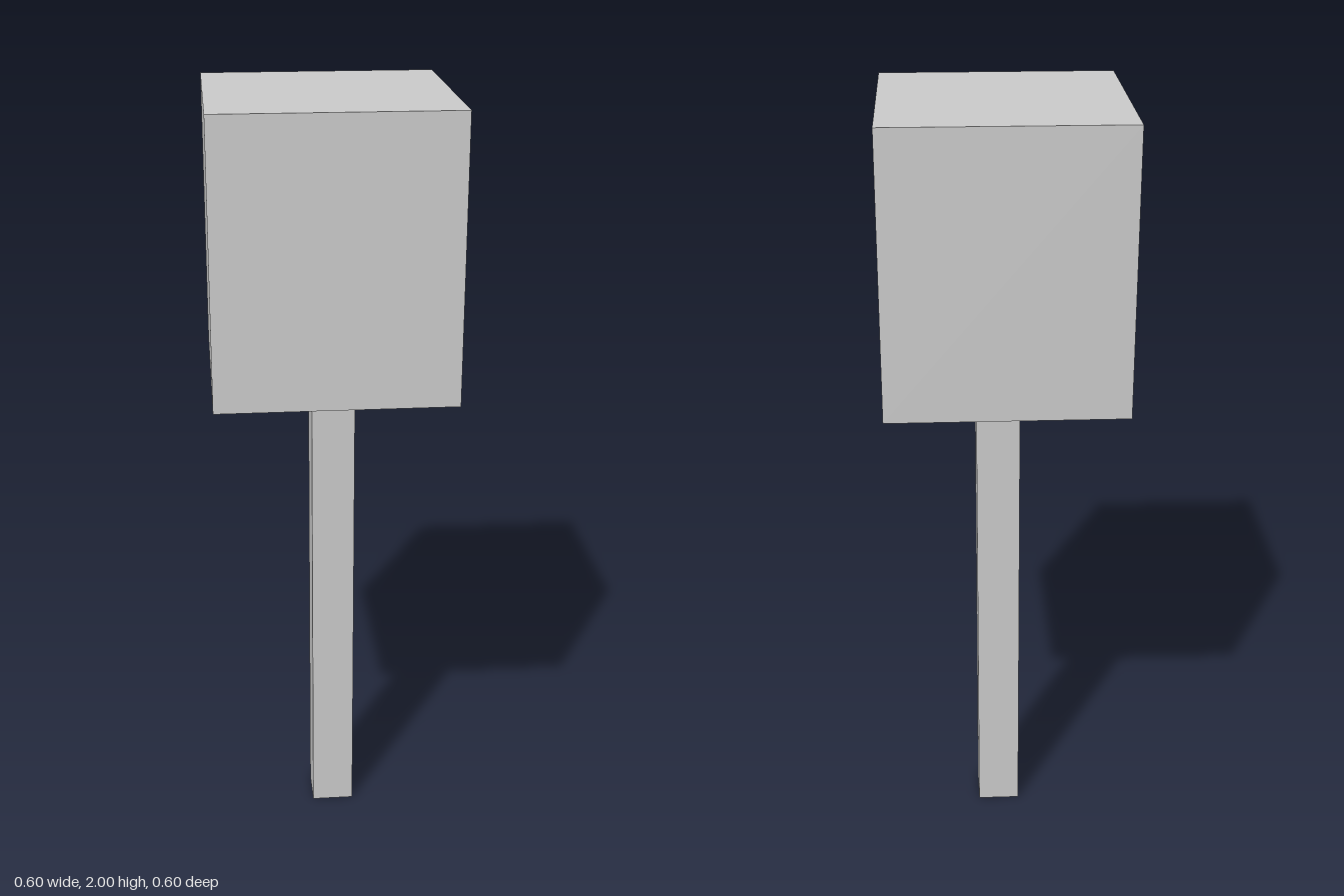
import * as THREE from 'three';

const material = new THREE.MeshStandardMaterial({ color: 0xcccccc, flatShading: true });

// Box placed by the centre of its base
function block(name, width, height, x, y, z) {
  const geometry = new THREE.BoxGeometry(width, height, width);
  geometry.translate(0, height / 2, 0);
  const mesh = new THREE.Mesh(geometry, material);
  mesh.name = name;
  mesh.position.set(x, y, z);
  return mesh;
}

export function createModel() {
  const group = new THREE.Group();
  group.name = 'blockTree';
  const trunkHeight = 1.29;

  // Square trunk, slightly off centre
  group.add(block('trunk', 0.112, trunkHeight, 0.013, 0, -0.013));

  // Block crown resting on the trunk
  group.add(block('crown', 0.6, 2 - trunkHeight, 0, trunkHeight, 0));

  return group;
}
